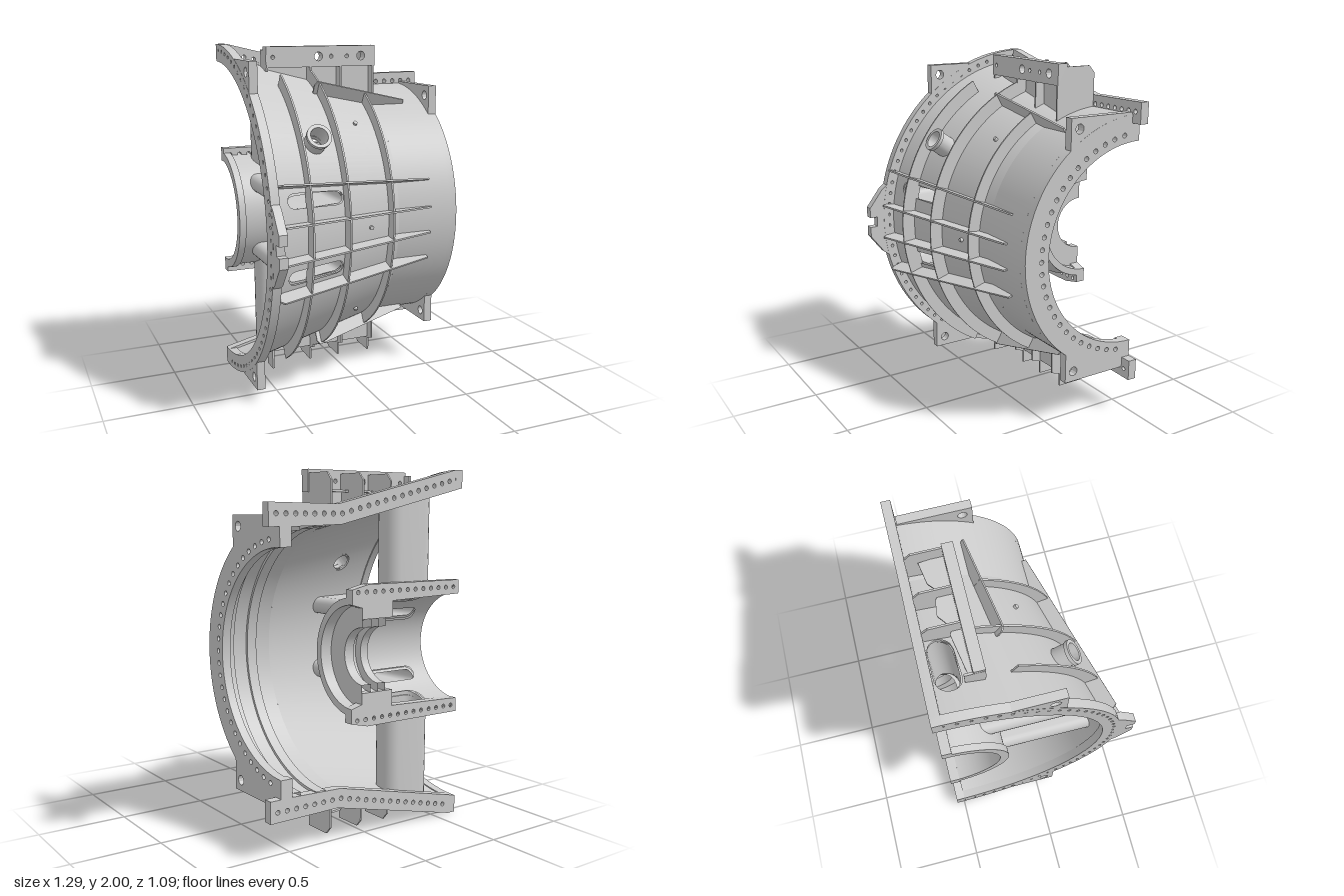
import * as THREE from 'three';
import { toCreasedNormals } from 'three/addons/utils/BufferGeometryUtils.js';

const AY = 1, AZ = -0.545; // machine axis runs along x
const rad = THREE.MathUtils.degToRad;
const coneR = x => (x < 0.2 ? 0.74 + (0.2 - x) * 0.245 : 0.74);

export function createModel() {
  const model = new THREE.Group();
  const mat = new THREE.MeshStandardMaterial({ color: 0xcccccc, side: THREE.DoubleSide });

  const add = (name, geo) => {
    const mesh = new THREE.Mesh(toCreasedNormals(geo, 0.5), mat);
    mesh.name = name;
    model.add(mesh);
    return mesh;
  };
  // polygon with round holes [x, y, r]
  const shape = (pts, holes = []) => {
    const s = new THREE.Shape(pts.map(p => new THREE.Vector2(p[0], p[1])));
    for (const [x, y, r] of holes) {
      const h = new THREE.Path();
      h.absarc(x, y, r, 0, Math.PI * 2, true);
      s.holes.push(h);
    }
    return s;
  };
  const extrude = (s, depth) => new THREE.ExtrudeGeometry(s, { depth, bevelEnabled: false, curveSegments: 6 });
  // plate facing z, points [x, y]
  const plateZ = (name, pts, z, depth, holes) => add(name, extrude(shape(pts, holes), depth).translate(0, 0, z));
  // plate facing x, points [z, y]
  const plateX = (name, pts, x, depth, holes = []) =>
    add(name, extrude(shape(pts.map(p => [-p[0], p[1]]), holes.map(h => [-h[0], h[1], h[2]])), depth)
      .rotateY(Math.PI / 2).translate(x, 0, 0));
  const polar = (r, deg) => [AZ + r * Math.cos(rad(deg)), AY + r * Math.sin(rad(deg))];
  const sector = (r0, r1, a) => {
    const pts = [], n = 48;
    for (let i = 0; i <= n; i++) pts.push(polar(r1, -a + 2 * a * i / n));
    for (let i = n; i >= 0; i--) pts.push(polar(r0, -a + 2 * a * i / n));
    return pts;
  };
  const boltCircle = (r, n, size) =>
    Array.from({ length: n }, (_, i) => [...polar(r, -87 + 174 * i / (n - 1)), size]);
  const mirrorY = (pts, s) => pts.map(([u, y, ...rest]) => [u, AY + s * (y - AY), ...rest]);
  // half lathe, points [radius, x]
  const lathe = (name, pts) =>
    add(name, new THREE.LatheGeometry(pts.map(p => new THREE.Vector2(...p)), 72, -Math.PI / 2, Math.PI)
      .rotateZ(-Math.PI / 2).translate(0, AY, AZ));

  // Half shell of revolution with rounded openings {c, h: degrees, a, b: x limits, rx}
  const shell = (name, R, x0, x1, slots) => {
    const pos = [];
    const pt = (x, d) => { const [z, y] = polar(R(x), d); return [x, y, z]; };
    const band = (f0, f1, d0, d1, n) => {
      for (let i = 0; i < n; i++) {
        const p = d0 + (d1 - d0) * i / n, q = d0 + (d1 - d0) * (i + 1) / n;
        const A = pt(f0(p), p), B = pt(f1(p), p), C = pt(f1(q), q), D = pt(f0(q), q);
        pos.push(...A, ...C, ...B, ...A, ...D, ...C);
      }
    };
    let at = -90;
    for (const s of [...slots].sort((m, n) => m.c - n.c)) {
      band(() => x0, () => x1, at, s.c - s.h, Math.max(1, Math.ceil((s.c - s.h - at) / 2.5)));
      const inset = d => s.rx * (1 - Math.sqrt(Math.max(0, 1 - ((d - s.c) / s.h) ** 2)));
      band(() => x0, d => s.a + inset(d), s.c - s.h, s.c + s.h, 14);
      band(d => s.b - inset(d), () => x1, s.c - s.h, s.c + s.h, 14);
      at = s.c + s.h;
    }
    band(() => x0, () => x1, at, 90, Math.ceil((90 - at) / 2.5));
    const g = new THREE.BufferGeometry();
    g.setAttribute('position', new THREE.Float32BufferAttribute(pos, 3));
    g.computeVertexNormals();
    add(name, g);
  };
  const strutSlots = (cH, hH, cV, hV) => [-1, 1].flatMap(s => [
    { c: s * cH, h: hH, a: -0.53, b: -0.18, rx: 0.04 },
    { c: s * cV, h: hV, a: -0.47, b: -0.18, rx: 0.065 }]);

  // Outer casing: cone with strut openings and pipe opening, then cylindrical end
  const slots = [...strutSlots(13.5, 2.6, 81.8, 4.4), { c: 34, h: 3.2, a: -0.36, b: -0.26, rx: 0.05 }];
  shell('casingOuterWall', coneR, -0.62, 0.2, slots);
  shell('casingInnerWall', x => coneR(x) - 0.03, -0.62, 0.2, slots);
  lathe('casingCylinder', [[0.71, 0.2], [0.71, 0.3], [0.69, 0.3], [0.69, 0.36], [0.705, 0.36], [0.705, 0.46],
    [0.67, 0.46], [0.67, 0.53], [0.74, 0.53], [0.74, 0.2]]);

  // End flanges with bolt circles
  plateX('largeEndFlange', sector(0.9, 1, 90), -0.65, 0.05, boltCircle(0.965, 44, 0.01));
  plateX('smallEndFlange', sector(0.59, 0.74, 90), 0.53, 0.05, boltCircle(0.635, 29, 0.014));
  plateX('centreTab', [[0.42, 1.23], [0.46, 1.2], [0.545, 1.09], [0.545, 1.03], [0.5, 1.03], [0.5, 0.97],
    [0.545, 0.97], [0.545, 0.91], [0.46, 0.8], [0.42, 0.77]], -0.649, 0.048);

  for (const s of [1, -1]) {
    // Lugs on the end flanges
    plateX('liftingLug', mirrorY([[0.105, 1.93], [0.105, 1.73], [0, 1.79], [-0.15, 1.88], [-0.17, 1.93]], s),
      -0.649, 0.048, mirrorY([[0.045, 1.87, 0.027]], s));
    plateX('cornerLug', mirrorY([[-0.085, 1.75], [-0.085, 1.56], [-0.2, 1.63], [-0.49, 1.72], [-0.49, 1.75]], s),
      0.529, 0.05, mirrorY([[-0.14, 1.69, 0.027]], s));

    // Split-line flange
    const bolts = [];
    for (let i = 0; i < 22; i++) {
      const x = -0.61 + 1.21 * i / 21;
      bolts.push([x, x < 0.2 ? 1.755 + (0.2 - x) * 0.24 : 1.755, 0.013]);
    }
    plateZ('splitFlange', mirrorY([[-0.65, 2], [-0.6, 2], [0.22, 1.805], [0.645, 1.81], [0.645, 1.69], [0.58, 1.69],
      [0.58, 1.59], [0.51, 1.59], [0.51, 1.69], [0.2, 1.7], [-0.65, 1.9]], s), AZ, 0.052, mirrorY(bolts, s));

    // Support brackets: cross plates, shelf and web
    for (const x of [-0.17, 0.02, 0.23]) {
      const foot = z => AY + Math.sqrt((coneR(x) - 0.015) ** 2 - (z - AZ) ** 2);
      plateX('bracketPlate', mirrorY([[-0.495, foot(-0.495)], [-0.4, foot(-0.4)], [-0.3, foot(-0.3)],
        [-0.24, foot(-0.24)], [-0.24, 1.87], [-0.3, 1.89], [-0.3, 1.97], [-0.46, 1.97], [-0.495, 1.93]], s),
        x - 0.005, 0.01);
    }
    const web = [[-0.42, 1.88], [0.23, 1.88]];
    for (const x of [0.23, 0.2, -0.42]) web.push([x, AY + Math.sqrt((coneR(x) - 0.015) ** 2 - 0.06)]);
    plateZ('bracketWeb', mirrorY(web, s), -0.31, 0.012);
    const shelf = extrude(shape([[-0.42, 0.3], [-0.42, 0.32], [-0.19, 0.36], [-0.16, 0.34], [-0.08, 0.4], [0, 0.39],
      [0.04, 0.36], [0.1, 0.41], [0.22, 0.43], [0.23, 0.3]]), 0.012).rotateX(-Math.PI / 2);
    add('bracketShelf', shelf.translate(0, AY + s * 0.875 - 0.006, 0));
    add('bracketEnd', new THREE.BoxGeometry(0.012, 0.12, 0.1).translate(-0.435, AY + s * 0.91, -0.295));
  }

  // Mounting bar on the top brackets
  plateZ('mountingBar', [[-0.44, 1.87], [0.24, 1.87], [0.24, 1.99], [-0.44, 1.99]], -0.3, 0.06,
    [[-0.4, 1.93, 0.012], [-0.12, 1.93, 0.026], [-0.04, 1.93, 0.012], [0.06, 1.93, 0.012], [0.15, 1.93, 0.026]]);

  // Longitudinal ribs
  const ribR = x => 1.02 - (x + 0.58) * 0.26;
  const rib = (deg, x0) => {
    const inner = x => coneR(x) - 0.015;
    const pts = [[x0, inner(x0)], [0.2, inner(0.2)], [0.4, inner(0.4)], [0.4, ribR(0.4)],
      [x0 + 0.02, ribR(x0 + 0.02)], [x0, ribR(x0) - 0.03]];
    add('longitudinalRib', extrude(shape(pts), 0.01).translate(0, 0, -0.005)
      .rotateX(Math.PI / 2 - rad(deg)).translate(0, AY, AZ));
  };
  for (const s of [1, -1]) {
    rib(s * 18.2, -0.6);
    rib(s * 5.7, -0.6);
    rib(s * 60.5, -0.2);
  }

  // Circumferential ribs
  for (const [x, r] of [[-0.41, 0.965], [-0.17, 0.905], [0.13, 0.825]])
    plateX('ringRib', sector(coneR(x) - 0.015, r, x === -0.17 ? 70 : 61), x - 0.005, 0.01);

  // Pipe stub and small bosses, pointing radially
  const radial = (name, geo, x, deg, r) => {
    const [z, y] = polar(r, deg);
    add(name, geo.rotateX(Math.PI / 2 - rad(deg)).translate(x, y, z));
  };
  radial('pipeStub', new THREE.LatheGeometry([[0.05, -0.07], [0.05, 0.06], [0.07, 0.06], [0.07, 0.04], [0.062, 0.04],
    [0.062, -0.07]].map(p => new THREE.Vector2(...p)), 32), -0.31, 34, 0.9);
  for (const deg of [-44, 0, 45])
    radial('boss', new THREE.CylinderGeometry(0.012, 0.012, 0.03, 12), 0, deg, coneR(0));

  // Hollow struts between hub and casing, ends trimmed to both round walls
  const stadium = (a, b, c, r) => {
    const pts = [];
    for (let i = 0; i <= 12; i++) pts.push([b - r + r * Math.sin(Math.PI * i / 12), c - r * Math.cos(Math.PI * i / 12)]);
    for (let i = 0; i <= 12; i++) pts.push([a + r - r * Math.sin(Math.PI * i / 12), c + r * Math.cos(Math.PI * i / 12)]);
    return pts;
  };
  const strut = (a, b, c, r) => {
    const s = shape(stadium(a - 0.015, b + 0.015, c, r + 0.015));
    s.holes.push(new THREE.Path(stadium(a, b, c, r).map(p => new THREE.Vector2(...p))));
    const g = extrude(s, 1), p = g.attributes.position;
    for (let i = 0; i < p.count; i++) {
      const R = p.getZ(i) > 0.5 ? coneR(p.getX(i)) - 0.012 : 0.325;
      p.setZ(i, Math.sqrt(R * R - p.getY(i) ** 2));
    }
    g.computeVertexNormals();
    return g;
  };
  for (const s of [1, -1]) {
    add('sideStrut', strut(-0.53, -0.18, s * 0.2, 0.036).translate(0, AY, AZ));
    add('verticalStrut', strut(-0.47, -0.18, -s * 0.12, 0.065).rotateX(-s * Math.PI / 2).translate(0, AY, AZ));
  }

  // Bearing hub: slotted shell, nose, inner seats and split flanges
  const hubSlots = strutSlots(35.4, 8, 69.6, 11.5);
  shell('hubOuterWall', () => 0.345, -0.64, 0, hubSlots);
  shell('hubInnerWall', () => 0.31, -0.64, 0, hubSlots);
  lathe('hubRim', [[0.31, -0.6], [0.31, -0.64], [0.36, -0.64], [0.36, -0.6], [0.345, -0.6]]);
  lathe('hubNose', [[0.31, 0], [0.28, 0.05], [0.28, 0.13], [0.32, 0.13], [0.32, 0.07], [0.345, 0]]);
  lathe('bearingSeat', [[0.31, -0.15], [0.22, -0.15], [0.22, -0.1], [0.155, -0.1], [0.155, -0.05], [0.2, -0.05],
    [0.2, 0], [0.155, 0], [0.155, 0.06], [0.3, 0.06]]);
  for (const s of [1, -1]) {
    const holes = Array.from({ length: 13 }, (_, i) => [-0.6 + 0.69 * i / 12, 1.345, 0.012]);
    plateZ('hubSplitFlange', mirrorY([[-0.64, 1.385], [0.02, 1.385], [0.13, 1.36], [0.13, 1.28], [0.06, 1.26],
      [0.06, 1.2], [-0.15, 1.2], [-0.15, 1.29], [-0.64, 1.305]], s), AZ, 0.055, mirrorY(holes, s));
  }
  return model;
}
